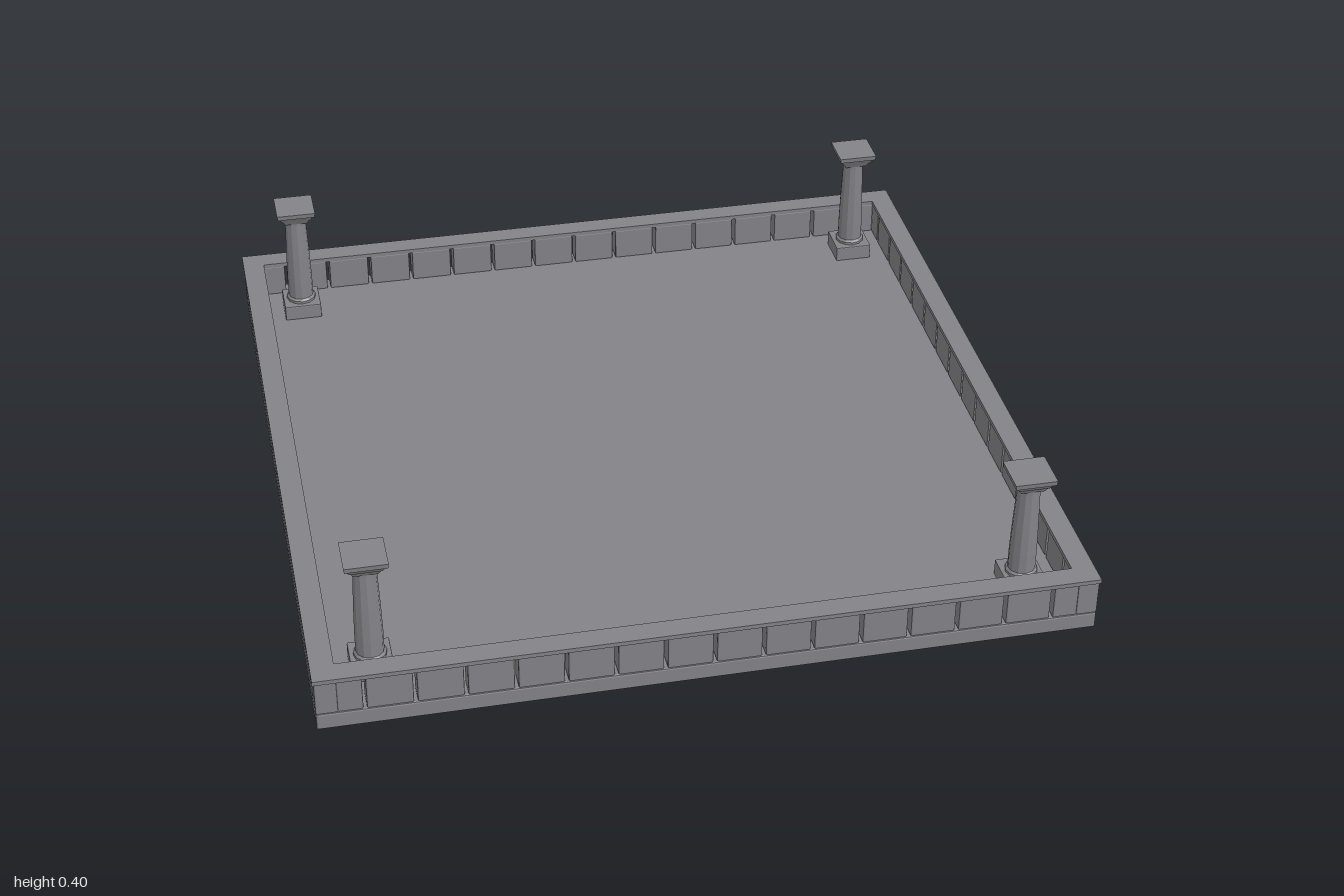
import * as THREE from 'three';
import { RoundedBoxGeometry } from 'three/addons/geometries/RoundedBoxGeometry.js';

const stone = new THREE.MeshStandardMaterial({ color: 0x838287, flatShading: true });
stone.name = 'grey stone';

function add(parent, name, geometry, x = 0, y = 0, z = 0) {
  const mesh = new THREE.Mesh(geometry, stone);
  mesh.name = name;
  mesh.position.set(x, y, z);
  parent.add(mesh);
  return mesh;
}

// box with a small chamfer
const block = (w, h, d, r = 0.004) => new RoundedBoxGeometry(w, h, d, 1, r);

// square plate that tapers from one width to another
function squareTaper(top, bottom, h) {
  const k = Math.SQRT1_2;
  return new THREE.CylinderGeometry(top * k, bottom * k, h, 4).rotateY(Math.PI / 4);
}

function square(path, s) {
  path.moveTo(-s, -s);
  path.lineTo(s, -s);
  path.lineTo(s, s);
  path.lineTo(-s, s);
  path.closePath();
  return path;
}

// one side of the parapet: blocks with open joints, built facing +z
function createWall() {
  const wall = new THREE.Group();
  wall.name = 'parapetWall';
  for (let i = -7; i < 7; i++) {
    add(wall, 'wallBlock', block(0.116, 0.096, 0.054), (i + 0.5) * 0.125, 0.096, 0.969);
  }
  for (const s of [-1, 1]) {
    add(wall, 'endBlock', block(0.064, 0.096, 0.054), s * 0.911, 0.096, 0.969);
  }
  add(wall, 'cornerBlock', block(0.056, 0.096, 0.056), 0.969, 0.096, 0.969);
  return wall;
}

function createColumn() {
  const column = new THREE.Group();
  column.name = 'column';
  add(column, 'plinth', block(0.106, 0.045, 0.106, 0.003), 0, 0.07, 0);
  // shaft with a slight taper and a collar under the capital
  const profile = [
    [0, 0.09], [0.042, 0.09], [0.042, 0.1], [0.036, 0.106], [0.036, 0.16],
    [0.034, 0.24], [0.03, 0.35], [0.03, 0.362], [0, 0.362],
  ].map(([r, y]) => new THREE.Vector2(r, y));
  add(column, 'shaft', new THREE.LatheGeometry(profile, 12));
  // stepped, flaring square capital
  add(column, 'capitalNeck', squareTaper(0.076, 0.062, 0.014), 0, 0.367, 0);
  add(column, 'capitalFlare', squareTaper(0.098, 0.08, 0.016), 0, 0.382, 0);
  add(column, 'capitalSlab', squareTaper(0.11, 0.106, 0.014), 0, 0.397, 0);
  return column;
}

export function createModel() {
  const model = new THREE.Group();
  model.name = 'courtyard';

  // floor slab
  add(model, 'floorSlab', block(1.994, 0.048, 1.994, 0.005), 0, 0.024, 0);

  // four parapet walls
  for (let i = 0; i < 4; i++) {
    const wall = createWall();
    wall.rotation.y = i * Math.PI / 2;
    model.add(wall);
  }

  // continuous coping along the top of the walls
  const rim = square(new THREE.Shape(), 1);
  rim.holes.push(square(new THREE.Path(), 0.94));
  const coping = new THREE.ExtrudeGeometry(rim, { depth: 0.012, bevelEnabled: false });
  coping.rotateX(-Math.PI / 2);
  add(model, 'coping', coping, 0, 0.143, 0);

  // corner columns
  for (const x of [-0.842, 0.842]) {
    for (const z of [-0.842, 0.842]) {
      const column = createColumn();
      column.position.set(x, 0, z);
      model.add(column);
    }
  }
  return model;
}
